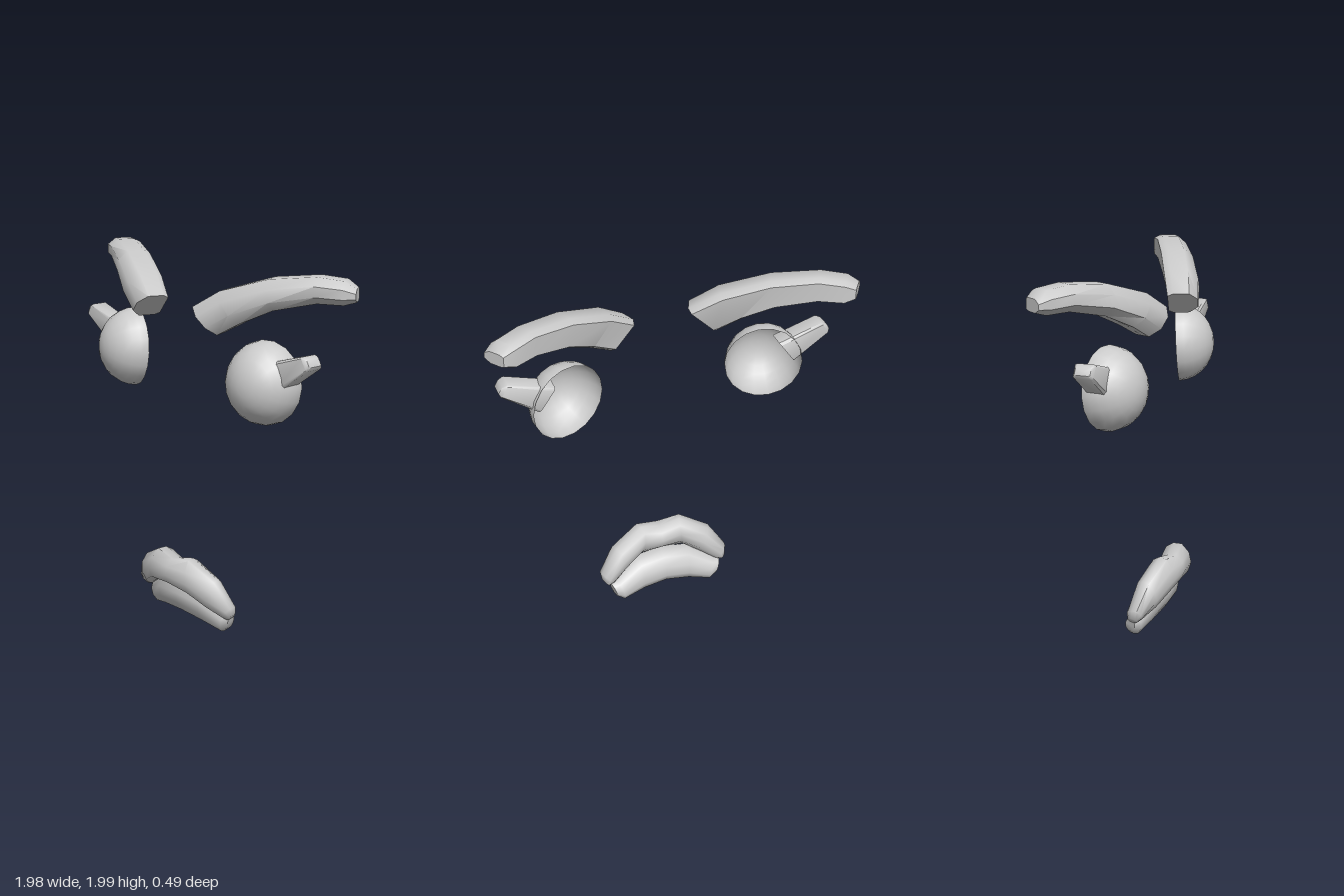
import * as THREE from 'three';
import { toCreasedNormals } from 'three/addons/utils/BufferGeometryUtils.js';

const solid = new THREE.MeshStandardMaterial({ color: 0xcccccc });
const shell = new THREE.MeshStandardMaterial({ color: 0xcccccc, side: THREE.DoubleSide });

// Cross-sections as [depth, height] pairs, each in -1..1
const browSection = [[1, -0.4], [1, 0.4], [0.45, 1], [-0.6, 1], [-1, 0.75], [-1, -0.8], [-0.7, -1], [0.4, -1]];
const lashSection = [[1, -0.8], [1, 0.8], [0.8, 1], [-0.8, 1], [-1, 0.8], [-1, -0.8], [-0.8, -1], [0.8, -1]];
const lipSection = [[1, -0.25], [0.95, 0.4], [0.5, 0.95], [-0.1, 1], [-0.7, 0.75], [-1, 0.2], [-0.95, -0.4], [-0.5, -0.9], [0.1, -1], [0.7, -0.8]];

// A station is { c: centre, u: half height vector, d: half depth vector }
const station = (c, u, d) => ({ c, u, d });
const flipX = ([x, y, z]) => [-x, y, z];
const mirrored = (stations) =>
  stations.map(({ c, u, d }) => station(flipX(c), flipX(u), flipX(d))).reverse();

// Skin a section along stations that run towards +x
function loft(stations, section, capStart, capEnd, crease) {
  const n = section.length;
  const pos = [];
  const index = [];
  for (const { c, u, d } of stations) {
    for (const [a, b] of section) {
      for (let k = 0; k < 3; k++) pos.push(c[k] + a * d[k] + b * u[k]);
    }
  }
  for (let i = 0; i < stations.length - 1; i++) {
    for (let j = 0; j < n; j++) {
      const a = i * n + j;
      const b = i * n + (j + 1) % n;
      index.push(a, a + n, b + n, a, b + n, b);
    }
  }
  const last = stations.length - 1;
  if (capStart) {
    const m = pos.length / 3;
    pos.push(...stations[0].c);
    for (let j = 0; j < n; j++) index.push(m, j, (j + 1) % n);
  }
  if (capEnd) {
    const m = pos.length / 3;
    pos.push(...stations[last].c);
    for (let j = 0; j < n; j++) index.push(m, last * n + (j + 1) % n, last * n + j);
  }
  const geo = new THREE.BufferGeometry();
  geo.setAttribute('position', new THREE.Float32BufferAttribute(pos, 3));
  geo.setIndex(index);
  return toCreasedNormals(geo, crease);
}

function add(group, name, geometry, material) {
  const mesh = new THREE.Mesh(geometry, material);
  mesh.name = name;
  group.add(mesh);
  return mesh;
}

// Brow: arched bar sweeping out and back
const brow = [
  station([0.24, 1.732, 0.14], [-0.072, 0.065, 0.02], [0.03, 0, 0.075]),
  station([0.375, 1.815, 0.09], [-0.062, 0.076, 0.01], [0.03, 0, 0.085]),
  station([0.57, 1.895, -0.005], [-0.015, 0.077, 0], [0.037, 0, 0.08]),
  station([0.78, 1.935, -0.11], [0, 0.066, 0], [0.04, 0, 0.072]),
  station([0.9, 1.93, -0.175], [0, 0.06, 0], [0.042, 0, 0.07]),
  station([0.955, 1.922, -0.2], [0, 0.033, 0], [0.035, 0, 0.048]),
];

// Lash: tapered bar, open where it enters the eye
const lash = [
  station([0.66, 1.503, 0.025], [-0.045, 0.063, 0], [0, 0, 0.054]),
  station([0.877, 1.606, 0.025], [-0.02, 0.033, 0], [0, 0, 0.053]),
  station([0.896, 1.611, 0.025], [-0.011, 0.018, 0], [0, 0, 0.04]),
];

// Lips: right halves, starting at the middle
const upperLip = [
  station([0, 0.305, 0.163], [0, 0.075, -0.01], [0, 0.01, 0.076]),
  station([0.13, 0.312, 0.155], [-0.012, 0.095, -0.01], [0.02, 0, 0.072]),
  station([0.26, 0.24, 0.115], [0.02, 0.08, -0.01], [0.025, 0, 0.065]),
  station([0.345, 0.15, 0.078], [0.033, 0.035, 0], [0.01, 0, 0.046]),
  station([0.358, 0.122, 0.07], [0.016, 0.018, 0], [0.005, 0, 0.027]),
];
const lowerLip = [
  station([0, 0.14, 0.095], [0, 0.09, 0.02], [0, 0, 0.07]),
  station([0.15, 0.125, 0.083], [0.005, 0.09, 0.02], [0.015, 0, 0.065]),
  station([0.283, 0.068, 0.05], [0.015, 0.062, 0.01], [0.015, 0, 0.048]),
  station([0.32, 0.078, 0.042], [0.012, 0.04, 0.005], [0.008, 0, 0.03]),
];

export function createModel() {
  const model = new THREE.Group();
  model.name = 'faceFeatures';

  for (const side of [1, -1]) {
    const left = side > 0;
    const prefix = left ? 'left' : 'right';
    add(model, prefix + 'Brow', loft(left ? brow : mirrored(brow), browSection, true, true, 0.85), solid);
    add(model, prefix + 'Lash', loft(left ? lash : mirrored(lash), lashSection, !left, left, 0.9), shell);

    // Eye: hollow dome turned slightly outwards
    const dome = new THREE.SphereGeometry(0.213, 18, 7, 0, Math.PI * 2, 0, Math.PI / 2);
    dome.rotateX(Math.PI / 2);
    dome.scale(0.98, 1.02, 0.96);
    const eye = add(model, prefix + 'Eye', dome, shell);
    eye.position.set(side * 0.542, 1.443, 0.01);
    eye.rotation.set(-0.06, side * 0.28, 0, 'YXZ');
  }

  for (const [name, half] of [['upperLip', upperLip], ['lowerLip', lowerLip]]) {
    const full = [...mirrored(half.slice(1)), ...half];
    add(model, name, loft(full, lipSection, true, true, 1.0), solid);
  }
  return model;
}
